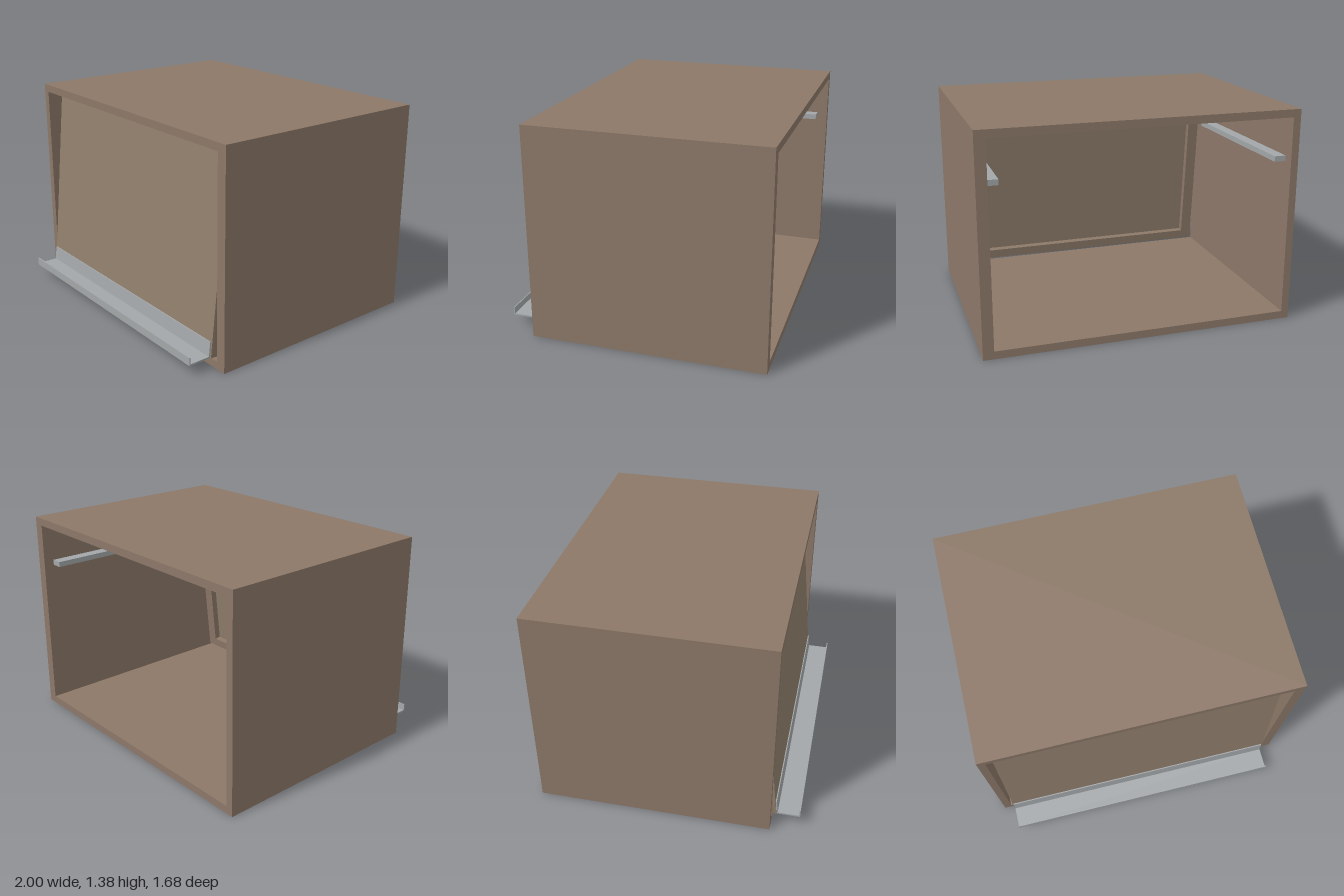
import * as THREE from 'three';

// Closed 2D shape from a list of [x, y] points
const outline = (pts) => new THREE.Shape(pts.map(([x, y]) => new THREE.Vector2(x, y)));
const rect = (x0, y0, x1, y1) => [[x0, y0], [x1, y0], [x1, y1], [x0, y1]];

// Rectangular ring extruded along z
function ring(outer, inner, depth) {
  const shape = outline(rect(...outer));
  shape.holes.push(outline(rect(...inner)));
  return new THREE.ExtrudeGeometry(shape, { depth, bevelEnabled: false });
}

// Box given by its minimum and maximum corners
function slab(x0, y0, z0, x1, y1, z1) {
  const g = new THREE.BoxGeometry(x1 - x0, y1 - y0, z1 - z0);
  return g.translate((x0 + x1) / 2, (y0 + y1) / 2, (z0 + z1) / 2);
}

export function createModel() {
  const model = new THREE.Group();
  model.name = 'cabinet';
  const material = (name, color) => {
    const m = new THREE.MeshStandardMaterial({ color });
    m.name = name;
    return m;
  };
  const wood = material('cabinet wood', 0x8c7868);
  const doorWood = material('door wood', 0x907f6d);
  const metal = material('grey metal', 0xa3a7a9);

  const add = (parent, name, geometry, mat) => {
    const mesh = new THREE.Mesh(geometry, mat);
    mesh.name = name;
    parent.add(mesh);
    return mesh;
  };

  // Open-ended cabinet body, one side wall slightly thicker
  add(model, 'cabinetBody',
    ring([-1, 0, 1, 1.38], [-0.952, 0.05, 0.932, 1.33], 1.5).translate(0, 0, -0.84), wood);

  // Leaning door: thin front panel on a frame behind it
  const door = new THREE.Group();
  door.name = 'door';
  door.position.set(-0.008, 0.075, 0.69);
  door.rotation.x = -0.1;
  model.add(door);
  const w = 0.922, h = 1.235;
  add(door, 'doorPanel', slab(-w, 0, -0.015, w, h, 0), doorWood);
  add(door, 'doorFrame',
    ring([-w, 0, w, h], [-w + 0.075, 0.06, w - 0.075, h - 0.06], 0.045).translate(0, 0, -0.06), wood);

  // Bent metal ledge along the foot of the door, profile in (z, y)
  const ledge = outline([
    [0.681, 0.175], [0.688, 0.175], [0.698, 0.083], [0.833, 0.083], [0.833, 0.125],
    [0.84, 0.125], [0.84, 0.073], [0.691, 0.073],
  ]);
  const ledgeGeometry = new THREE.ExtrudeGeometry(ledge, { depth: 1.83, bevelEnabled: false });
  ledgeGeometry.rotateY(-Math.PI / 2).translate(0.905, 0, 0);
  add(model, 'frontLedge', ledgeGeometry, metal);

  // Slide rails on the inner walls and the hangers behind the door
  for (const [side, wall] of [['left', 0.932], ['right', -0.952]]) {
    const hardware = new THREE.Group();
    hardware.name = side + 'Slide';
    hardware.position.x = wall;
    hardware.scale.x = Math.sign(wall);
    model.add(hardware);
    add(hardware, side + 'Rail', slab(-0.075, 1.04, -0.77, 0, 1.075, 0.35), metal);
    add(hardware, side + 'HangerPlate', slab(-0.07, 1.04, 0.45, -0.015, 1.15, 0.535), metal);
    add(hardware, side + 'HangerTop', slab(-0.015, 1.105, 0.45, -0.002, 1.15, 0.535), metal);
    add(hardware, side + 'HangerFoot', slab(-0.015, 1.04, 0.45, -0.002, 1.075, 0.535), metal);
  }
  return model;
}
